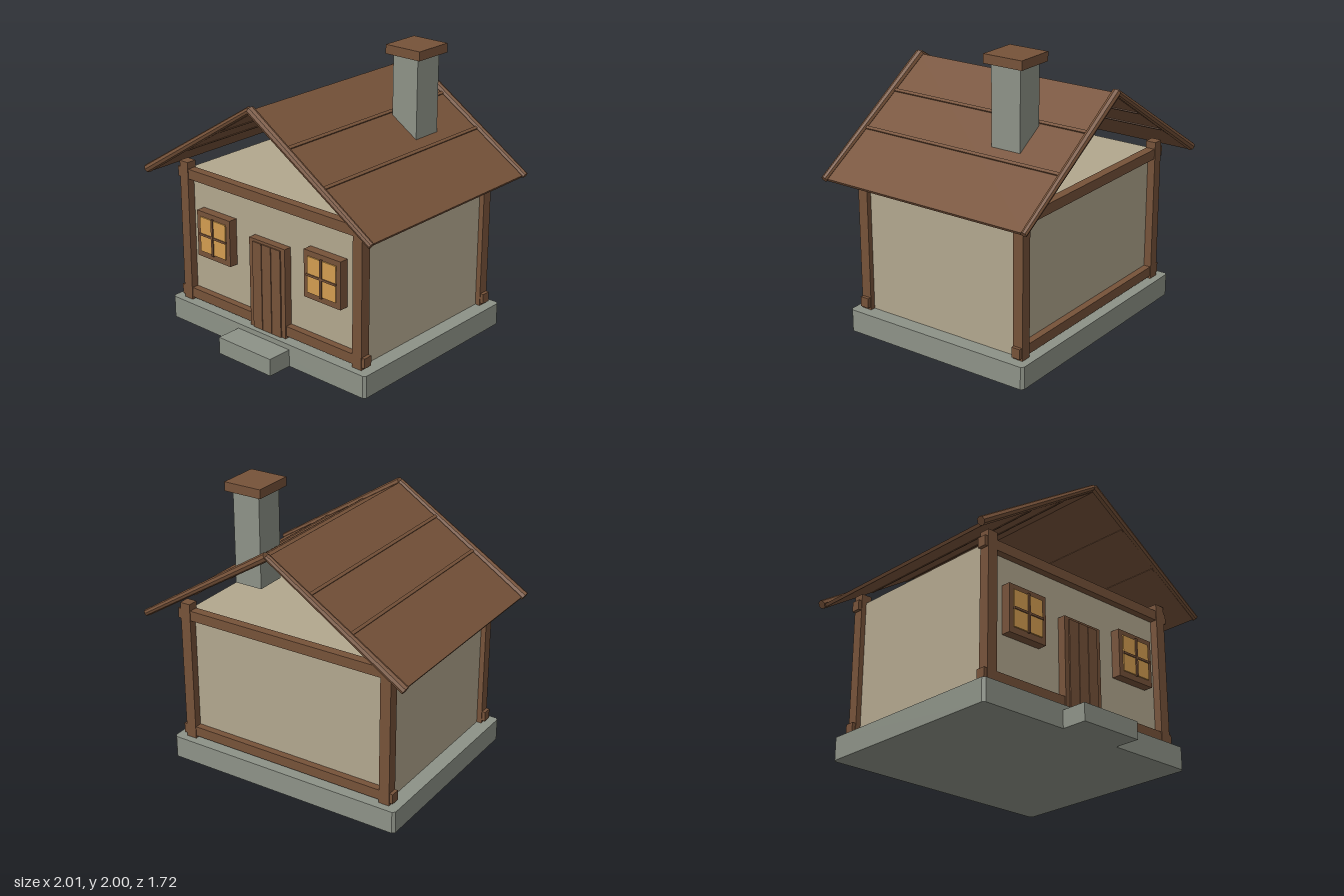
import * as THREE from 'three';

const wood = new THREE.MeshStandardMaterial({ color: 0x765239 });
wood.name = 'brown wood';
const plaster = new THREE.MeshStandardMaterial({ color: 0xb2a78e });
plaster.name = 'beige plaster';
const stone = new THREE.MeshStandardMaterial({ color: 0x8d9287 });
stone.name = 'grey stone';
const glow = new THREE.MeshStandardMaterial({ color: 0xd39d50 });
glow.name = 'warm window';

const MID = -0.03; // middle of the house in z

// Box given by its limits on each axis
function block(parent, name, mat, [x0, x1], [y0, y1], [z0, z1]) {
  const mesh = new THREE.Mesh(new THREE.BoxGeometry(x1 - x0, y1 - y0, z1 - z0), mat);
  mesh.position.set((x0 + x1) / 2, (y0 + y1) / 2, (z0 + z1) / 2);
  mesh.name = name;
  parent.add(mesh);
  return mesh;
}

// Slab with chamfered upright corners
function slab(parent, name, w, h, d, z, c) {
  const x = w / 2, y = d / 2;
  const shape = new THREE.Shape([
    [-x + c, -y], [x - c, -y], [x, -y + c], [x, y - c],
    [x - c, y], [-x + c, y], [-x, y - c], [-x, -y + c],
  ].map(p => new THREE.Vector2(...p)));
  const geo = new THREE.ExtrudeGeometry(shape, { depth: h, bevelEnabled: false });
  geo.rotateX(-Math.PI / 2);
  const mesh = new THREE.Mesh(geo, stone);
  mesh.position.z = z;
  mesh.name = name;
  parent.add(mesh);
}

function buildWindow(x) {
  const g = new THREE.Group();
  g.name = 'window';
  block(g, 'windowFrame', wood, [-0.155, 0.155], [0.525, 0.855], [0.56, 0.642]);
  block(g, 'windowPane', glow, [-0.12, 0.12], [0.568, 0.818], [0.642, 0.651]);
  block(g, 'uprightBar', wood, [-0.008, 0.008], [0.56, 0.826], [0.645, 0.66]);
  block(g, 'crossBar', wood, [-0.124, 0.124], [0.685, 0.7], [0.645, 0.658]);
  g.position.x = x;
  return g;
}

function buildDoor() {
  const g = new THREE.Group();
  g.name = 'door';
  block(g, 'doorBack', wood, [-0.16, 0.16], [0.155, 0.793], [0.56, 0.634]);
  for (const x of [-0.085, 0, 0.085])
    block(g, 'doorPlank', wood, [x - 0.04, x + 0.04], [0.155, 0.775], [0.63, 0.643]);
  return g;
}

// One roof slope: side is 1 for +x, -1 for -x
function buildSlope(side) {
  const g = new THREE.Group();
  g.name = 'roofSlope';
  const angle = Math.atan(0.635), len = 0.98 / Math.cos(angle);
  const panel = new THREE.Mesh(new THREE.BoxGeometry(len, 0.022, 1.58), wood);
  panel.position.set(side * len / 2, -0.011, MID);
  panel.name = 'roofPanel';
  g.add(panel);
  // Battens running along the slope
  for (const x of [0.295, 0.59]) {
    const batten = new THREE.Mesh(new THREE.BoxGeometry(0.022, 0.038, 1.57), wood);
    batten.position.set(side * x / Math.cos(angle), -0.009, MID);
    batten.name = 'roofBatten';
    g.add(batten);
  }
  // Tapered logs on the front and back edges
  for (const dz of [-0.795, 0.79]) {
    const geo = new THREE.CylinderGeometry(0.022, 0.03, len + 0.012, 8).toNonIndexed();
    geo.computeVertexNormals();
    geo.rotateZ(-Math.PI / 2);
    const log = new THREE.Mesh(geo, wood);
    log.position.set(side * (len / 2 + 0.004), 0.004, MID + dz);
    log.name = 'edgeLog';
    g.add(log);
  }
  g.position.y = 1.725;
  g.rotation.z = -side * angle;
  return g;
}

export function createModel() {
  const house = new THREE.Group();
  house.name = 'cottage';

  // Stone footing and doorstep
  slab(house, 'foundation', 1.765, 0.156, 1.425, -0.032, 0.018);
  block(house, 'doorstep', stone, [-0.235, 0.235], [0, 0.12], [0.6, 0.86]);

  // Walls
  block(house, 'walls', plaster, [-0.775, 0.775], [0.15, 1.11], [-0.637, 0.577]);

  // Timber frame: corner posts and crossing beams
  for (const z of [0.595, -0.655]) {
    for (const x of [-0.773, 0.773])
      block(house, 'cornerPost', wood, [x - 0.038, x + 0.038], [0.15, 1.168], [z - 0.037, z + 0.037]);
    for (const y of [0.21, 1.085])
      block(house, 'beam', wood, [-0.835, 0.835], [y - 0.035, y + 0.035], [z - 0.032, z + 0.032]);
  }

  // Front openings
  house.add(buildDoor(), buildWindow(-0.49), buildWindow(0.49));

  // Roof, open at both gables
  house.add(buildSlope(1), buildSlope(-1));

  // Chimney
  block(house, 'chimneyStack', stone, [0.318, 0.52], [1.295, 1.94], [-0.46, -0.24]);
  block(house, 'chimneyCap', wood, [0.28, 0.558], [1.938, 2], [-0.498, -0.207]);

  return house;
}
